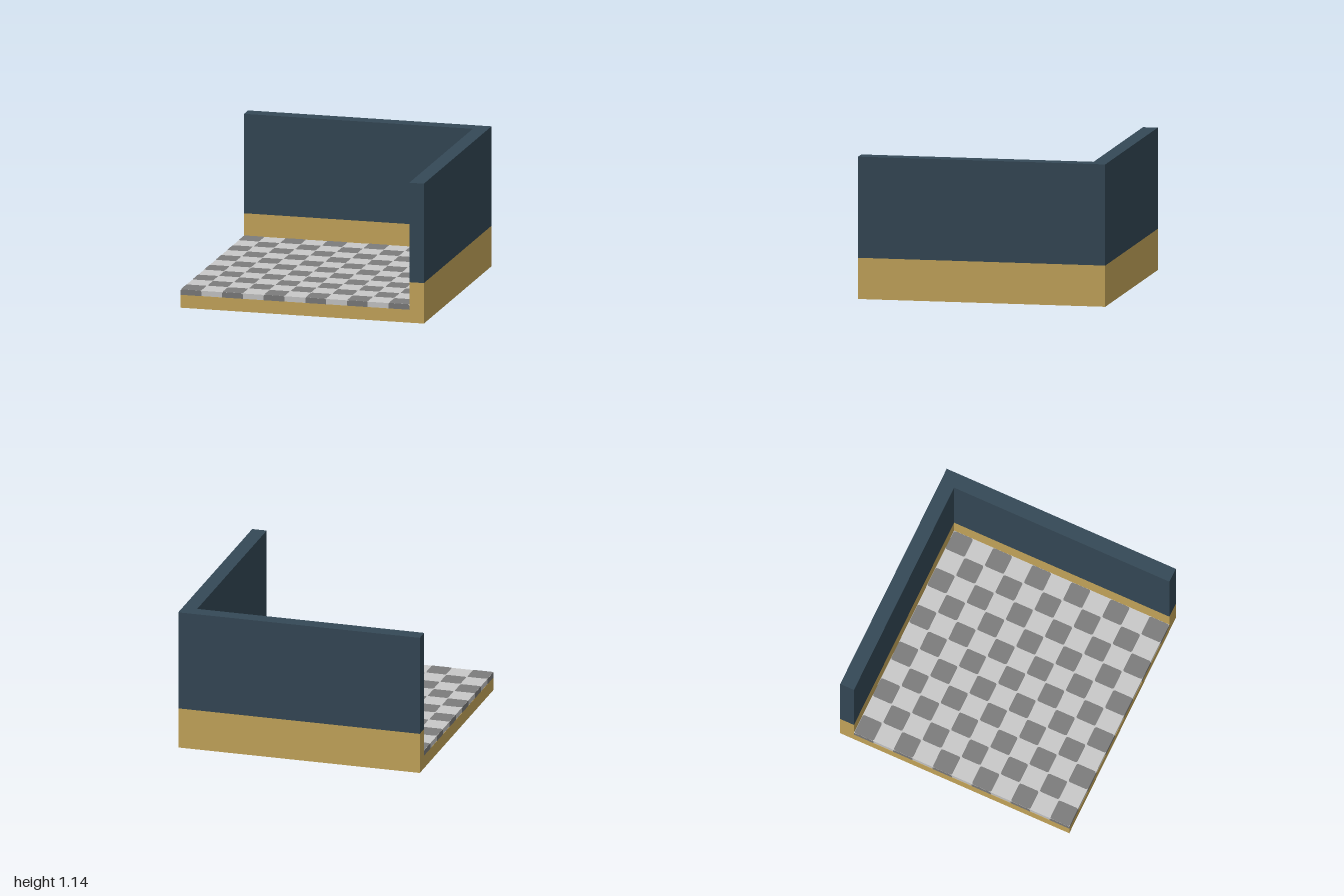
import * as THREE from 'three';

const mat = (name, color) => Object.assign(new THREE.MeshStandardMaterial({ color }), { name });

// Rectangle centred on x = 0 with separate radii for upper and lower corners
function roundedRect(w, h, top, bottom) {
  const s = new THREE.Shape(), x = w / 2, y = h / 2;
  s.moveTo(-x + bottom, -y);
  s.lineTo(x - bottom, -y);
  s.quadraticCurveTo(x, -y, x, -y + bottom);
  s.lineTo(x, y - top);
  s.quadraticCurveTo(x, y, x - top, y);
  s.lineTo(-x + top, y);
  s.quadraticCurveTo(-x, y, -x, y - top);
  s.lineTo(-x, -y + bottom);
  s.quadraticCurveTo(-x, -y, -x + bottom, -y);
  return new THREE.ShapeGeometry(s, 3);
}

export function createModel() {
  const group = new THREE.Group();
  const navy = mat('navy wall', 0x354957);
  const gold = mat('gold wainscot', 0xc9a95d);
  const light = mat('light tile', 0xc9c9c9);
  const dark = mat('dark tile', 0x7d7d7d);

  const inner = 0.88;   // inside face of both walls
  const floorTop = 0.15, baseTop = 0.105, paint = 0.002;
  const count = 11, cell = (1 + inner) / count;

  const add = (name, geometry, material, x = 0, y = 0, z = 0) => {
    const mesh = new THREE.Mesh(geometry, material);
    mesh.name = name;
    mesh.position.set(x, y, z);
    group.add(mesh);
    return mesh;
  };

  // L-shaped walls along the back and the left, in two bands
  const plan = new THREE.Shape([
    [-1, 1], [-1, inner], [inner, inner], [inner, -1], [1, -1], [1, 1],
  ].map(([x, y]) => new THREE.Vector2(x, y)));
  const band = (name, material, y0, y1) => {
    const g = new THREE.ExtrudeGeometry(plan, { depth: y1 - y0, bevelEnabled: false });
    add(name, g.rotateX(-Math.PI / 2), material, 0, y0);
  };
  band('lowerWall', gold, 0, 0.33);
  band('upperWall', navy, 0.33, 1.14);

  // Floor base with a grey underside
  const size = 1 + inner, mid = (inner - 1) / 2;
  add('floorBase', new THREE.BoxGeometry(size, baseTop, size),
    [gold, gold, gold, dark, gold, gold], mid, baseTop / 2, -mid);

  // Light slab under the checker pattern
  const slabH = floorTop - paint - baseTop, slabW = size - paint;
  add('lightTiles', new THREE.BoxGeometry(slabW, slabH, slabW), light,
    mid + paint / 2, baseTop + slabH / 2, -mid - paint / 2);

  // Dark tiles on top
  const tile = roundedRect(cell - 0.003, cell - 0.003, 0.018, 0.018).rotateX(-Math.PI / 2);
  for (let i = 0; i < count; i++) {
    for (let j = i % 2; j < count; j += 2) {
      add('darkTile', tile, dark, -1 + (i + 0.5) * cell, floorTop, -inner + (j + 0.5) * cell);
    }
  }

  // Dark tile ends along the two open edges
  const edgeH = floorTop - baseTop;
  const frontEdge = roundedRect(cell, edgeH, 0.015, 0);
  const sideEdge = frontEdge.clone().rotateY(-Math.PI / 2);
  for (let i = 0; i < count; i += 2) {
    const y = baseTop + edgeH / 2, d = (i + 0.5) * cell;
    add('frontTileEdge', frontEdge, dark, -1 + d, y, 1);
    add('sideTileEdge', sideEdge, dark, -1, y, -inner + d);
  }
  return group;
}
